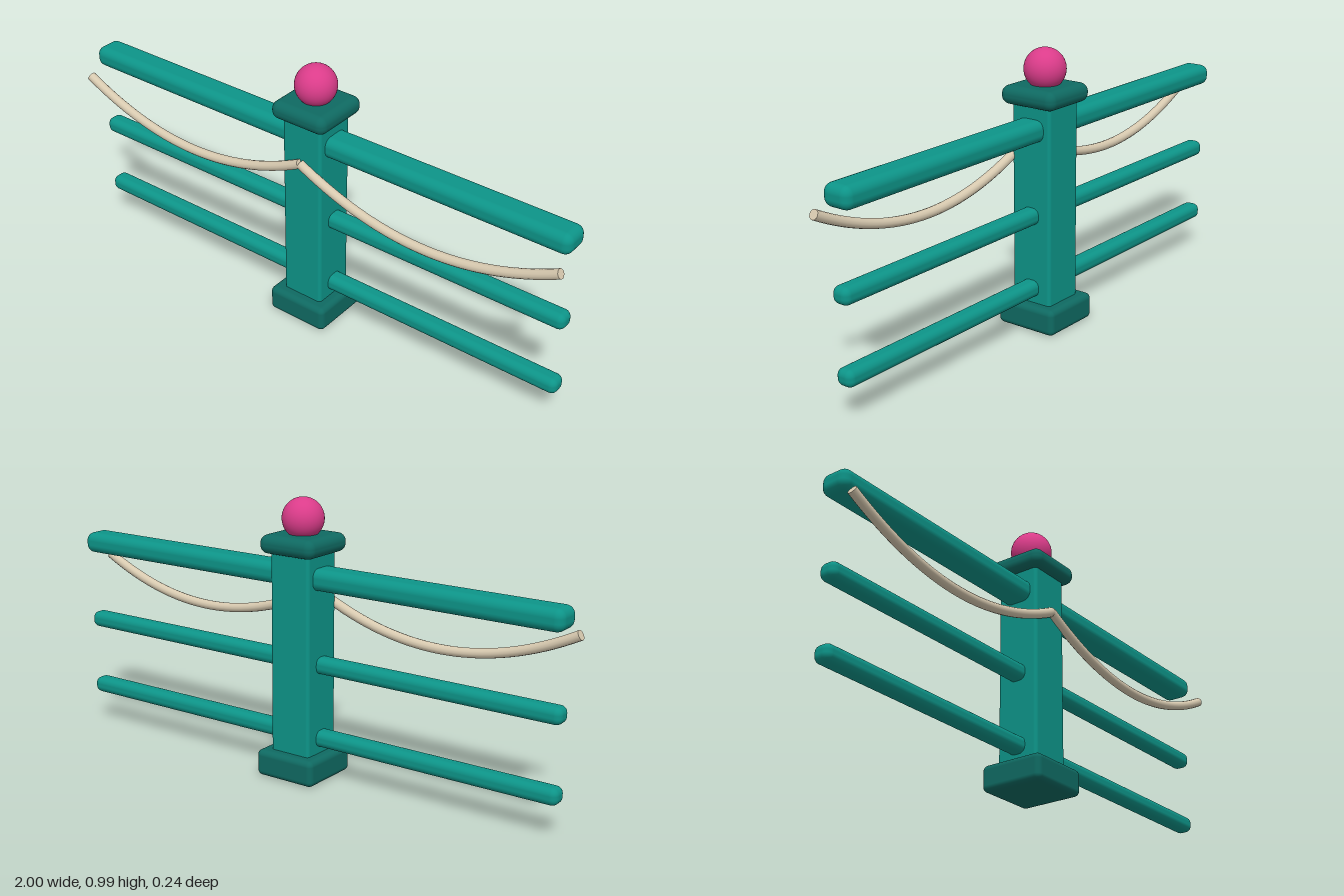
import * as THREE from 'three';
import { RoundedBoxGeometry } from 'three/addons/geometries/RoundedBoxGeometry.js';

const material = (name, color) => {
  const m = new THREE.MeshStandardMaterial({ color });
  m.name = name;
  return m;
};

export function createModel() {
  const model = new THREE.Group();
  model.name = 'railingPost';
  const teal = material('teal', 0x0d9488);
  const darkTeal = material('dark teal', 0x0f6a62);
  const pink = material('pink', 0xdb3c8a);
  const cream = material('cream rope', 0xd8cab0);

  const add = (name, geometry, mat, x = 0, y = 0, z = 0) => {
    const mesh = new THREE.Mesh(geometry, mat);
    mesh.name = name;
    mesh.position.set(x, y, z);
    model.add(mesh);
    return mesh;
  };
  const block = (name, mat, w, y0, y1, d, r) =>
    add(name, new RoundedBoxGeometry(w, y1 - y0, d, 4, r), mat, 0, (y0 + y1) / 2, 0);

  // Post with its foot, cap and ball
  block('foot', darkTeal, 0.238, 0, 0.094, 0.238, 0.02);
  block('post', teal, 0.16, 0.07, 0.82, 0.16, 0.012);
  block('cap', darkTeal, 0.224, 0.797, 0.863, 0.224, 0.03);
  add('ball', new THREE.SphereGeometry(0.073, 40, 28), pink, 0, 0.915, 0);

  // Horizontal rails
  block('topRail', teal, 1.99, 0.68, 0.756, 0.108, 0.03);
  block('middleRail', teal, 1.99, 0.383, 0.442, 0.066, 0.024);
  block('bottomRail', teal, 1.99, 0.118, 0.177, 0.066, 0.024);

  // Two sagging ropes meeting at the front of the post
  const radius = 0.017;
  for (const side of [-1, 1]) {
    const curve = new THREE.QuadraticBezierCurve3(
      new THREE.Vector3(0, 0.65, 0.087),
      new THREE.Vector3(side * 0.497, 0.39, 0.087),
      new THREE.Vector3(side * 0.993, 0.65, 0.087)
    );
    const name = side > 0 ? 'leftRope' : 'rightRope';
    add(name, new THREE.TubeGeometry(curve, 32, radius, 12), cream);
    // Flat end faces
    for (const t of [0, 1]) {
      const p = curve.getPoint(t);
      const out = curve.getTangent(t).multiplyScalar(t ? 1 : -1);
      const end = add(name + 'End', new THREE.CircleGeometry(radius, 12), cream, p.x, p.y, p.z);
      end.quaternion.setFromUnitVectors(new THREE.Vector3(0, 0, 1), out);
    }
  }
  return model;
}
